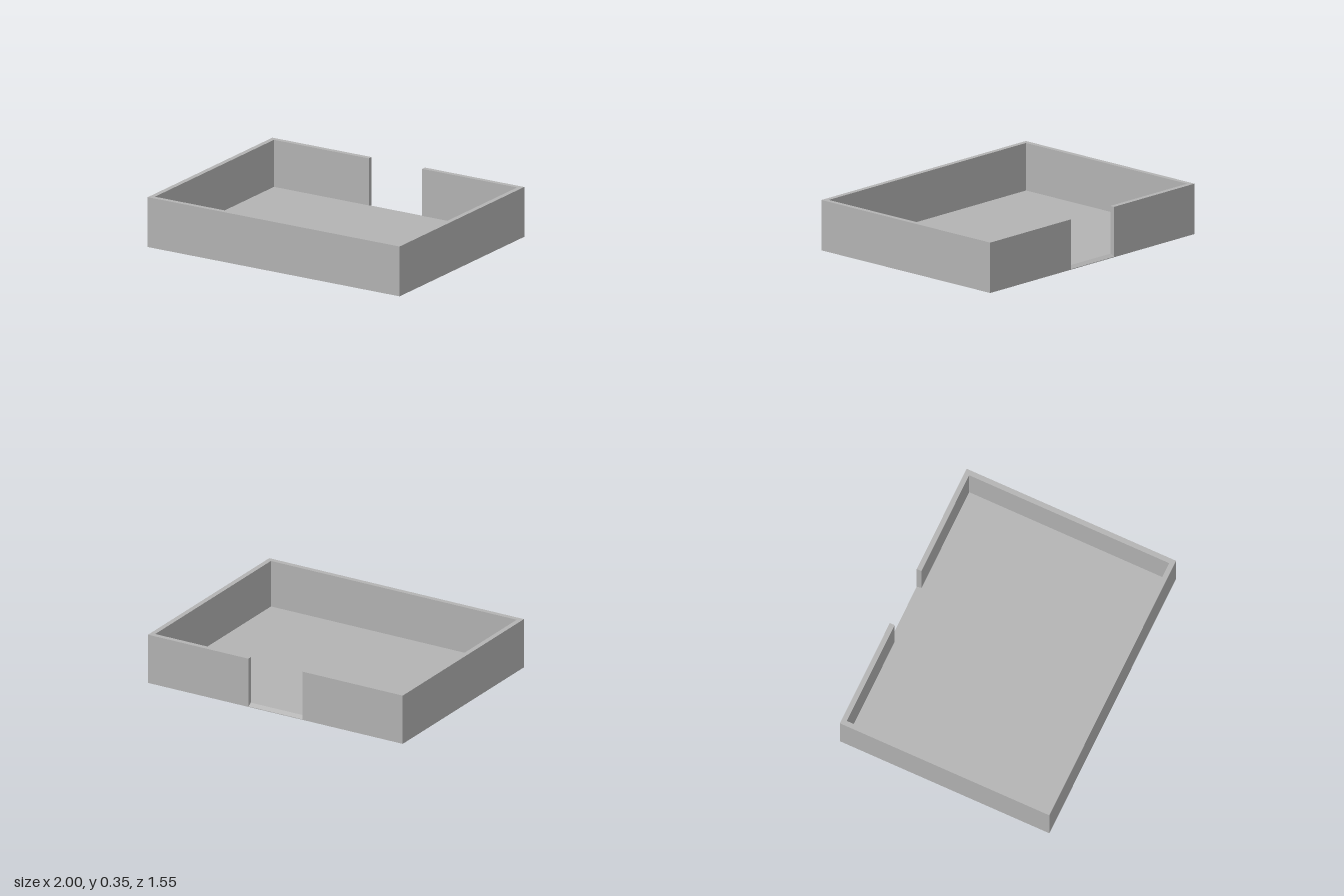
import * as THREE from 'three';

const W = 1.0, D = 0.773, H = 0.35; // half width, half depth, height
const T = 0.035;                    // wall thickness
const GAP = 0.212;                  // half width of the rear opening
const FLOOR = 0.02, LIP = 0.004;

export function createModel() {
  const model = new THREE.Group();
  model.name = 'tray';
  const grey = new THREE.MeshStandardMaterial({ color: 0xb3b3b3 });
  grey.name = 'plain grey';

  const add = (name, geometry) => {
    const mesh = new THREE.Mesh(geometry, grey);
    mesh.name = name;
    model.add(mesh);
    return mesh;
  };
  const extrude = (points, depth) => new THREE.ExtrudeGeometry(
    new THREE.Shape(points.map(([x, y]) => new THREE.Vector2(x, y))),
    { depth, bevelEnabled: false });

  // Continuous wall, open in the middle of the back (plan y becomes -z)
  const half = [[GAP, D], [W, D], [W, -D]];
  const inner = [[W - T, -D + T], [W - T, D - T], [GAP, D - T]];
  const mirror = (pts) => pts.map(([x, y]) => [-x, y]).reverse();
  const wall = extrude([...half, ...mirror(half), ...mirror(inner), ...inner], H);
  wall.rotateX(-Math.PI / 2);
  add('wall', wall);

  // Floor plate inside the walls
  const floor = new THREE.BoxGeometry(2 * (W - T), FLOOR, 2 * (D - T));
  floor.translate(0, FLOOR / 2, 0);
  add('floor', floor);

  // Threshold in the opening: floor level, then a slope down to a thin lip
  const sill = extrude([[D - T, 0], [D, 0], [D, LIP], [D - 0.031, FLOOR], [D - T, FLOOR]], 2 * GAP);
  sill.translate(0, 0, -GAP);
  sill.rotateY(Math.PI / 2);
  add('threshold', sill);

  return model;
}
